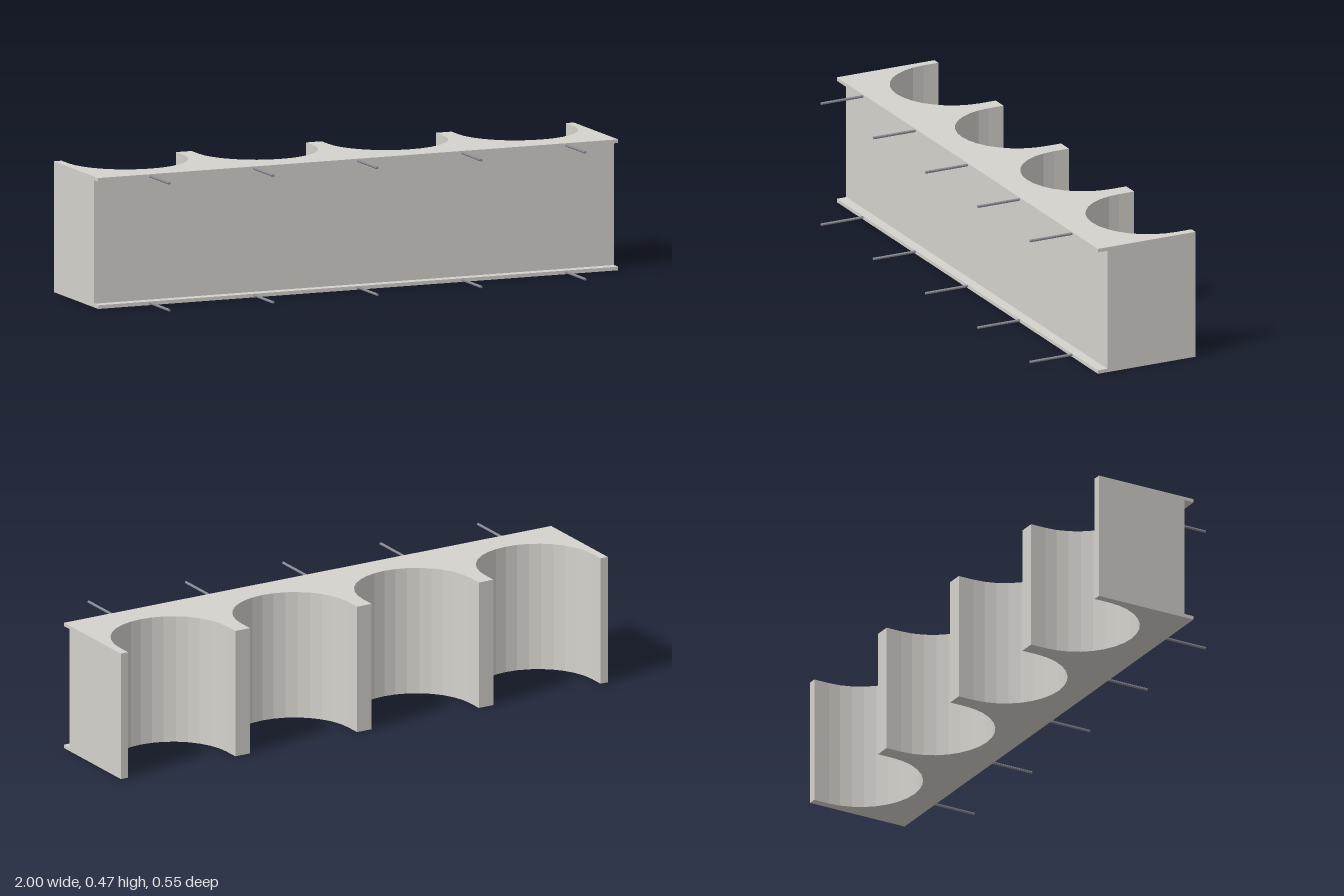
import * as THREE from 'three';

const HEIGHT = 0.467, BACK = -0.276, WEB = 0.073, FLANGE = 0.11, PLATE = 0.013;
const BAY_R = 0.22, BAY_Z = -0.217;
const BAYS = [0.75, 0.25, -0.25, -0.75];

// Plan outline with four round-ended bays open to the back (shape y = -z)
function planShape(front) {
  const s = new THREE.Shape();
  s.moveTo(-1, -front);
  s.lineTo(1, -front);
  s.lineTo(1, -BACK);
  for (const x of BAYS) {
    s.lineTo(x + BAY_R, -BACK);
    s.lineTo(x + BAY_R, -BAY_Z);
    s.absarc(x, -BAY_Z, BAY_R, 0, -Math.PI, true);
    s.lineTo(x - BAY_R, -BACK);
  }
  s.lineTo(-1, -BACK);
  s.closePath();
  return s;
}

function slab(name, front, y, height, material) {
  const g = new THREE.ExtrudeGeometry(planShape(front), { depth: height, bevelEnabled: false, curveSegments: 8 });
  g.rotateX(-Math.PI / 2);
  const mesh = new THREE.Mesh(g, material);
  mesh.name = name;
  mesh.position.y = y;
  return mesh;
}

export function createModel() {
  const model = new THREE.Group();
  model.name = 'scallopedBlock';
  const concrete = new THREE.MeshStandardMaterial({ name: 'pale warm grey', color: 0xd5d3cd });
  const steel = new THREE.MeshStandardMaterial({ name: 'steel grey', color: 0x8a8a94 });

  // Core between two plates that overhang the front
  model.add(slab('bottomPlate', FLANGE, 0, PLATE, concrete));
  model.add(slab('core', WEB, PLATE, HEIGHT - 2 * PLATE, concrete));
  model.add(slab('topPlate', FLANGE, HEIGHT - PLATE, PLATE, concrete));

  // Eight-sided rods projecting forward from both plates
  const start = 0.1, end = 0.276;
  const rodGeometry = new THREE.CylinderGeometry(0.0047, 0.0047, end - start, 8)
    .rotateY(Math.PI / 8).rotateX(Math.PI / 2).toNonIndexed();
  rodGeometry.computeVertexNormals();
  for (const [row, y] of [['lower', 0.0075], ['upper', 0.46]]) {
    for (let i = 0; i < 5; i++) {
      const rod = new THREE.Mesh(rodGeometry, steel);
      rod.name = `${row}Rod${i + 1}`;
      rod.position.set(-0.8 + i * 0.4, y, (start + end) / 2);
      model.add(rod);
    }
  }
  return model;
}
